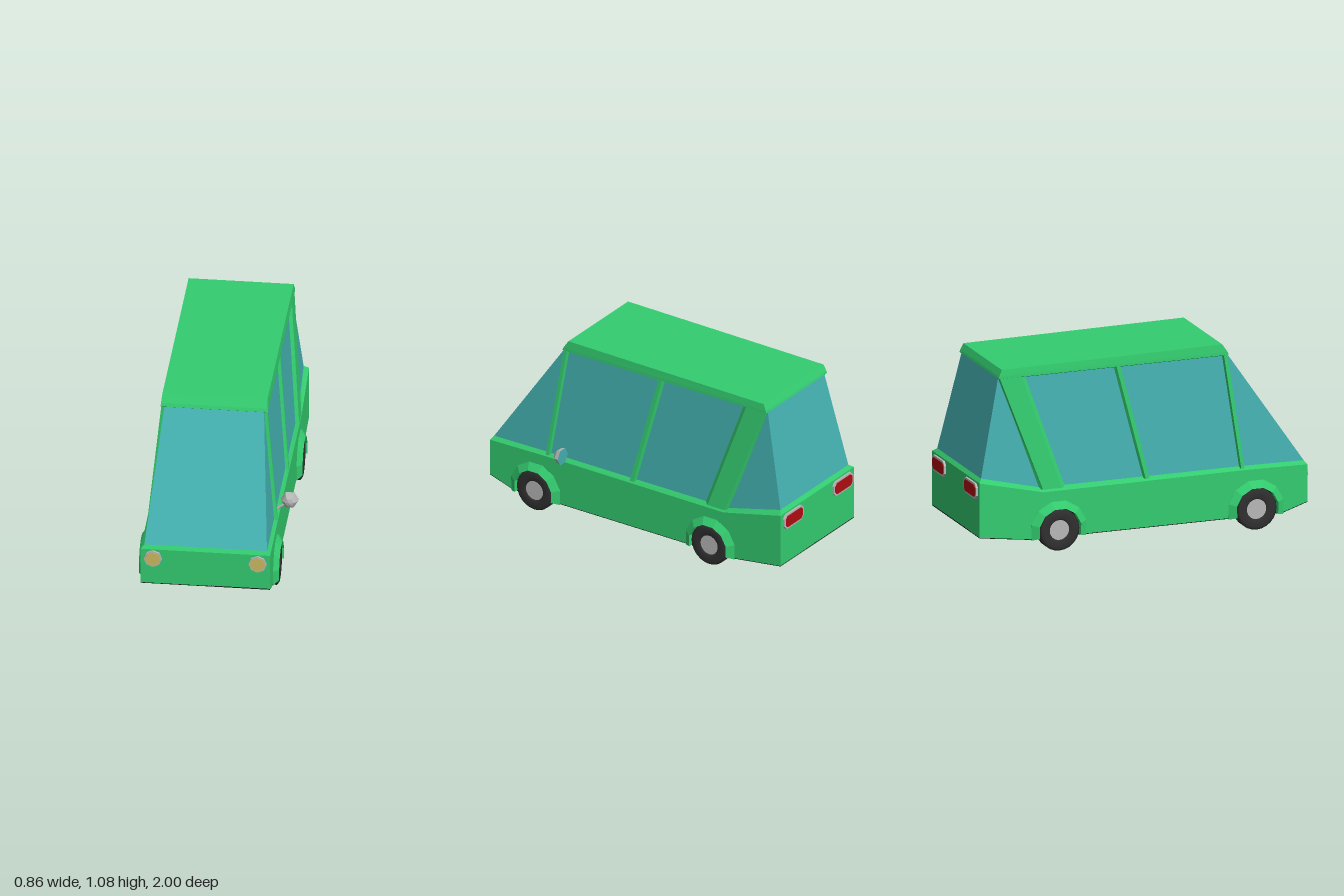
import * as THREE from 'three';

const mat = (color, flat = true) =>
  new THREE.MeshStandardMaterial({ color, flatShading: flat, side: THREE.DoubleSide });
const GREEN = mat(0x33cc6f), GLASS = mat(0x44b0b0), BLACK = mat(0x1a1a1a), TYRE = mat(0x303030, false);
const METAL = mat(0xb8b8b8), AMBER = mat(0xcdbb62), RED = mat(0xb00c10);

const WHEELS_Z = [0.675, -0.51], AXLE_Y = 0.12, WELL_R = 0.13, FLOOR = 0.08;
const DIP = Math.asin((AXLE_Y - FLOOR) / WELL_R);

function add(parent, name, geometry, material) {
  const mesh = new THREE.Mesh(geometry, material);
  mesh.name = name;
  parent.add(mesh);
  return mesh;
}

// Extrudes a side profile drawn as (z, y) across the car, from -half to +half
function acrossCar(shape, half) {
  const g = new THREE.ExtrudeGeometry(shape, { depth: 2 * half, bevelEnabled: false, curveSegments: 14 });
  return g.rotateY(-Math.PI / 2).translate(half, 0, 0);
}

const poly = (pts) => new THREE.Shape(pts.map(([a, b]) => new THREE.Vector2(a, b)));

// Mirrored ring from (z, y) stations running front to back; half is a number or a rule of y
function ring(stations, half) {
  const h = typeof half === 'function' ? half : () => half;
  const left = stations.map(([z, y]) => [h(y), y, z]);
  return [...left, ...left.map(([x, y, z]) => [-x, y, z]).reverse()];
}

// Skins a stack of equal-length rings, bottom to top
function loft(rings, capTop) {
  const p = [];
  for (let r = 0; r + 1 < rings.length; r++) {
    const a = rings[r], b = rings[r + 1];
    a.forEach((_, i) => {
      const j = (i + 1) % a.length;
      p.push(...a[i], ...a[j], ...b[j], ...a[i], ...b[j], ...b[i]);
    });
  }
  const top = rings[rings.length - 1];
  if (capTop) for (let i = 1; i + 1 < top.length; i++) p.push(...top[0], ...top[i], ...top[i + 1]);
  const g = new THREE.BufferGeometry();
  g.setAttribute('position', new THREE.Float32BufferAttribute(p, 3));
  g.computeVertexNormals();
  return g;
}

// Half-width of the leaning glass at height y
const glassHalf = (y) => 0.345 - (y - 0.37) * 0.1;

// Pillar on the side glass; inner and outer are [front bottom, back bottom, back top, front top] in z
function pillar(inner, outer, side) {
  const ys = [0.36, 0.36, 1.02, 1.02];
  const face = (zs, lift) => zs.map((z, i) => [side * (glassHalf(ys[i]) + lift), ys[i], z]);
  const rings = [face(inner, -0.01), face(outer, 0.018)];
  if (side < 0) rings.forEach((r) => r.reverse());
  return loft(rings, true);
}

// Plate with cut corners, facing +z
function plate(w, h, cut, depth) {
  const x = w / 2, y = h / 2;
  const s = poly([[-x + cut, -y], [x - cut, -y], [x, -y + cut], [x, y - cut],
    [x - cut, y], [-x + cut, y], [-x, y - cut], [-x, -y + cut]]);
  return new THREE.ExtrudeGeometry(s, { depth, bevelEnabled: false });
}

const disc = (r, depth, sides) =>
  new THREE.CylinderGeometry(r, r, depth, sides).rotateX(Math.PI / 2).translate(0, 0, depth / 2);

function buildBody(car) {
  // Lower body with wheel notches
  const beltLow = [[0.985, 0.345], [0.61, 0.35], [-0.6, 0.345], [-0.985, 0.435]];
  const beltHigh = [[0.97, 0.366], [0.605, 0.37], [-0.615, 0.37], [-0.966, 0.455]];
  const s = new THREE.Shape();
  s.moveTo(0.985, 0.345).lineTo(0.985, 0.13).lineTo(0.83, FLOOR);
  WHEELS_Z.forEach((z) => s.absarc(z, AXLE_Y, WELL_R, -DIP, Math.PI + DIP, false));
  s.lineTo(-0.68, FLOOR).lineTo(-0.985, 0.12);
  [...beltLow].reverse().forEach(([z, y]) => s.lineTo(z, y));
  add(car, 'lowerBody', acrossCar(s, 0.365), GREEN);
  add(car, 'beltLine', loft([ring(beltLow, 0.365), ring(beltHigh, glassHalf)], false), GREEN);

  // Underside panels between the wheels
  [[[0.985, 0.13], [0.83, FLOOR], [0.799, FLOOR]], [[0.551, FLOOR], [-0.386, FLOOR]],
    [[-0.634, FLOOR], [-0.68, FLOOR], [-0.985, 0.12]]].forEach((line) => {
    const lower = line.map(([z, y]) => [z, y - 0.004]).reverse();
    add(car, 'underside', acrossCar(poly([...line.map(([z, y]) => [z, y + 0.002]), ...lower]), 0.364), BLACK);
  });

  // Glasshouse and roof
  const glassTop = [[0.53, 1.02], [0.525, 1.02], [-0.835, 1.02], [-0.84, 1.02]];
  add(car, 'windows', loft([ring(beltHigh, glassHalf), ring(glassTop, glassHalf)], true), GLASS);
  const roofRings = [
    ring([[0.53, 1.003], [-0.835, 1.003]], 0.28),
    ring([[0.537, 1.012], [-0.846, 1.012]], 0.302),
    ring([[0.53, 1.03], [-0.842, 1.025]], 0.301),
    ring([[0.5, 1.075], [-0.825, 1.062]], 0.296),
  ];
  add(car, 'roof', loft(roofRings, true), GREEN);

  // Window pillars
  for (const side of [1, -1]) {
    add(car, 'frontPillar', pillar([0.615, 0.58, 0.5, 0.535], [0.607, 0.588, 0.508, 0.53], side), GREEN);
    add(car, 'middlePillar', pillar([0.045, 0, -0.155, -0.11], [0.038, 0.014, -0.138, -0.114], side), GREEN);
    add(car, 'rearPillar', pillar([-0.45, -0.625, -0.848, -0.67], [-0.49, -0.603, -0.84, -0.71], side), GREEN);
  }
}

function buildWheels(car) {
  const tyreProfile = [[0.058, -0.03], [0.068, -0.037], [0.106, -0.039], [0.12, -0.029],
    [0.12, 0.029], [0.106, 0.039], [0.068, 0.037], [0.058, 0.03]].map(([r, h]) => new THREE.Vector2(r, h));
  const archProfile = [[0.17, 0.36], [0.17, 0.367], [0.128, 0.395], [0.126, 0.36]]
    .map(([r, h]) => new THREE.Vector2(r, h));
  for (const z of WHEELS_Z) {
    // Dark wheel well: liner across the car, filled between the wheels
    const liner = new THREE.Shape();
    liner.absarc(z, AXLE_Y, 0.132, -DIP, Math.PI + DIP, false);
    liner.absarc(z, AXLE_Y, 0.126, Math.PI + DIP, -DIP, true);
    add(car, 'wheelWell', acrossCar(liner, 0.366), BLACK);
    const plug = new THREE.Shape();
    plug.absarc(z, AXLE_Y, 0.131, -DIP - 0.02, Math.PI + DIP + 0.02, false);
    add(car, 'wheelWellFill', acrossCar(plug, 0.3), BLACK);

    for (const side of [1, -1]) {
      const corner = new THREE.Group();
      corner.name = 'wheelCorner';
      corner.position.set(0, AXLE_Y, z);
      corner.rotation.y = side > 0 ? 0 : Math.PI;
      car.add(corner);
      const arch = new THREE.LatheGeometry(archProfile, 7, -Math.PI - 0.29, Math.PI + 0.58);
      add(corner, 'wheelArch', arch.rotateZ(-Math.PI / 2), GREEN);
      const tyre = new THREE.LatheGeometry(tyreProfile, 24).rotateZ(-Math.PI / 2);
      add(corner, 'tyre', tyre, TYRE).position.x = 0.347;
      const hub = new THREE.CylinderGeometry(0.061, 0.061, 0.06, 24).rotateZ(-Math.PI / 2);
      add(corner, 'hub', hub, METAL).position.x = 0.347;
    }
  }
}

function buildLights(car) {
  for (const side of [1, -1]) {
    const head = new THREE.Group();
    head.name = 'headlight';
    head.position.set(side * 0.295, 0.29, 0.982);
    add(head, 'headlightRim', disc(0.051, 0.015, 8), METAL);
    add(head, 'headlightLens', disc(0.043, 0.018, 8), AMBER);
    const tail = new THREE.Group();
    tail.name = 'tailLight';
    tail.position.set(side * 0.245, 0.38, -0.982);
    tail.rotation.y = Math.PI;
    add(tail, 'tailLightRim', plate(0.19, 0.09, 0.022, 0.015), METAL);
    add(tail, 'tailLightLens', plate(0.168, 0.068, 0.017, 0.018), RED);
    car.add(head, tail);
  }
}

// Single door mirror on the left side
function buildMirror(car) {
  const mirror = new THREE.Group();
  mirror.name = 'doorMirror';
  mirror.position.set(0.418, 0.413, 0.455);
  const shell = new THREE.SphereGeometry(0.051, 6, 3, 0, Math.PI * 2, 0, Math.PI / 2).rotateX(Math.PI / 2);
  add(mirror, 'mirrorShell', shell.rotateZ(Math.PI / 6 * (shell.attributes.position.getX(0) ? 1 : 0)), METAL);
  const face = new THREE.CircleGeometry(0.051, 6).rotateY(Math.PI);
  add(mirror, 'mirrorGlass', face, GLASS);
  const from = new THREE.Vector3(-0.075, -0.055, 0.025), to = new THREE.Vector3(-0.01, -0.005, 0.02);
  const stalk = new THREE.TubeGeometry(new THREE.LineCurve3(from, to), 1, 0.008, 6);
  add(mirror, 'mirrorStalk', stalk, METAL);
  car.add(mirror);
}

export function createModel() {
  const model = new THREE.Group();
  model.name = 'van';
  const car = new THREE.Group();
  car.name = 'vanAssembly';
  car.position.x = -0.038;
  buildBody(car);
  buildWheels(car);
  buildLights(car);
  buildMirror(car);
  model.add(car);
  return model;
}
